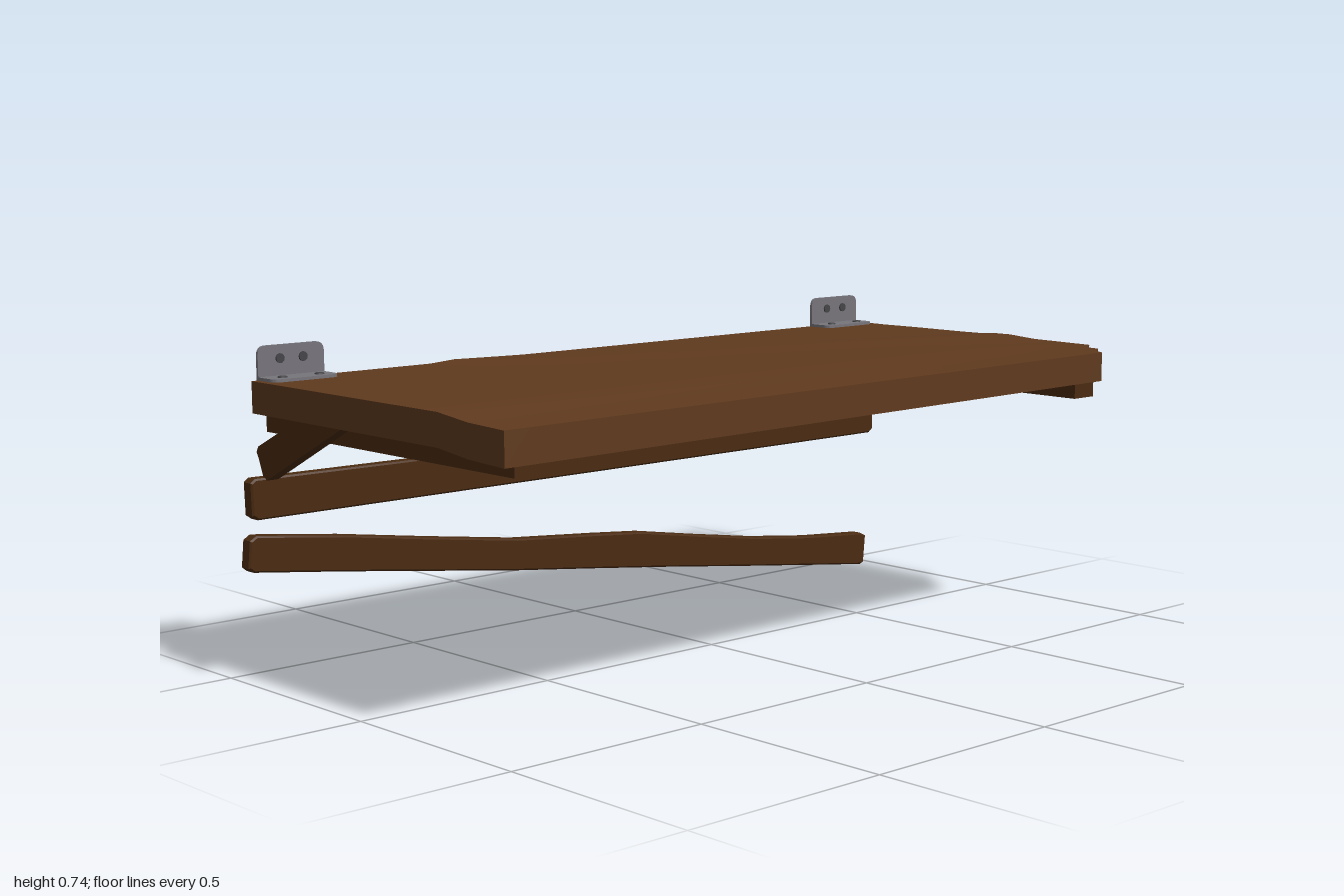
import * as THREE from 'three';
import { toCreasedNormals } from 'three/addons/utils/BufferGeometryUtils.js';

const paint = (color) => new THREE.MeshStandardMaterial({ color });
const slabWood = paint(0x5f3a1e);
const railWood = paint(0x4a2b11);
const metal = paint(0x77757b);
const darkMetal = paint(0x454448);

// Piecewise linear lookup in [[x, y], ...]
function lookup(points, x) {
  for (let i = 1; i < points.length; i++) {
    const [x0, y0] = points[i - 1], [x1, y1] = points[i];
    if (x <= x1) return y0 + (y1 - y0) * Math.max(0, (x - x0) / (x1 - x0));
  }
  return points[points.length - 1][1];
}

function add(parent, name, geometry, material) {
  const mesh = new THREE.Mesh(geometry, material);
  mesh.name = name;
  parent.add(mesh);
  return mesh;
}

// Side profile in (z, y), extruded along x from x0 to x1
function sideExtrude(shape, x0, x1, bevel = 0) {
  const g = new THREE.ExtrudeGeometry(shape, {
    depth: x1 - x0 - 2 * bevel, bevelEnabled: bevel > 0, bevelSize: bevel,
    bevelThickness: bevel, bevelOffset: -bevel, bevelSegments: 1, curveSegments: 6,
  });
  return toCreasedNormals(g.rotateY(-Math.PI / 2).translate(x1 - bevel, 0, 0), 0.6);
}

const polygon = (points) => new THREE.Shape(points.map(([x, y]) => new THREE.Vector2(x, y)));

// Worn plank: a subdivided box pushed to its uneven outline and thickness
function slabGeometry() {
  const xs = [-0.455, -0.35, -0.25, -0.15, -0.08, -0.02, 0.03, 0.08, 0.16, 0.23, 0.28, 0.335, 0.365, 0.4, 0.43, 0.455];
  const back = [[-0.455, -0.98], [-0.35, -0.975], [-0.25, -0.98], [0.335, -0.98], [0.365, -0.933], [0.4, -0.93], [0.43, -0.885], [0.455, -0.875]];
  const frontTop = [[-0.455, 0.666], [0.23, 0.665], [0.335, 0.654], [0.455, 0.65]];
  const frontBottom = [[-0.455, 0.595], [0.23, 0.593], [0.335, 0.581], [0.455, 0.576]];
  const backTop = [[-0.455, 0.667], [0.03, 0.668], [0.455, 0.664]];
  const backBottom = [[-0.455, 0.596], [0.455, 0.594]];
  const n = xs.length - 1;
  const g = new THREE.BoxGeometry(1, 1, 1, n, 1, 28);
  const p = g.attributes.position;
  for (let i = 0; i < p.count; i++) {
    const x = xs[Math.round((p.getX(i) + 0.5) * n)];
    const t = p.getZ(i) + 0.5;
    const z = THREE.MathUtils.lerp(lookup(back, x), 0.95, t);
    const top = p.getY(i) > 0;
    let y = THREE.MathUtils.lerp(lookup(top ? backTop : backBottom, x), lookup(top ? frontTop : frontBottom, x), t);
    // Low ridge running diagonally across the top
    const line = 0.05 - (z + 0.95) * 0.36;
    if (top) y += 0.006 * Math.max(0, 1 - Math.abs(x - line) / 0.09) * (z < 0.4 ? 1 : 0);
    p.setXYZ(i, x - Math.max(0, x) * 0.055 * t, y, z);
  }
  return toCreasedNormals(g, 0.5);
}

// L-shaped bracket with rounded outer corners and screws
function bracket(z) {
  const group = new THREE.Group();
  const w = 0.086, r = 0.022;
  const leaf = (h) => {
    const s = new THREE.Shape();
    s.moveTo(-w, 0);
    s.lineTo(w, 0);
    s.lineTo(w, h - r);
    s.quadraticCurveTo(w, h, w - r, h);
    s.lineTo(r - w, h);
    s.quadraticCurveTo(-w, h, -w, h - r);
    return sideExtrude(s, -0.007, 0);
  };
  add(group, 'uprightLeaf', leaf(0.075), metal);
  add(group, 'flatLeaf', leaf(0.07).rotateZ(-Math.PI / 2), metal).position.x = -0.007;
  for (const s of [-1, 1]) {
    add(group, 'flatScrew', new THREE.CylinderGeometry(0.01, 0.012, 0.006, 12), darkMetal)
      .position.set(0.037, 0.007, s * 0.048);
    const screw = add(group, 'uprightScrew', new THREE.CylinderGeometry(0.011, 0.011, 0.014, 12), darkMetal);
    screw.rotation.z = Math.PI / 2;
    screw.position.set(-0.0035, 0.045, s * 0.03);
  }
  group.position.set(-0.446, 0.667, z);
  return group;
}

export function createModel() {
  const model = new THREE.Group();
  model.name = 'wallShelf';
  add(model, 'shelfBoard', slabGeometry(), slabWood);

  // Cleats and diagonal braces under both ends
  const braceShape = polygon([[-0.447, 0.51], [-0.44, 0.499], [-0.422, 0.456], [-0.41, 0.451], [-0.115, 0.597], [-0.283, 0.597], [-0.44, 0.523]]);
  for (const [cleatZ, braceZ] of [[0.875, 0.918], [-0.865, -0.942]]) {
    add(model, 'cleat', new THREE.BoxGeometry(0.872, 0.05, 0.072), railWood).position.set(-0.025, 0.575, cleatZ);
    const brace = new THREE.ExtrudeGeometry(braceShape, { depth: 0.03, bevelEnabled: false });
    add(model, 'brace', brace, railWood).position.z = braceZ;
  }

  // Level rail
  const rail = polygon([[-0.998, 0.375], [-0.985, 0.365], [0.97, 0.365], [0.984, 0.375], [0.986, 0.448], [0.975, 0.457], [0.4, 0.453], [-0.5, 0.456], [-0.985, 0.458], [-0.998, 0.45]]);
  add(model, 'levelRail', sideExtrude(rail, -0.446, -0.412, 0.004), railWood);

  // Slanted, slightly wavy rail hanging below it
  const bottom = [[-0.968, 0.005], [-0.955, 0], [-0.75, 0.026], [-0.5, 0.058], [-0.25, 0.091], [0, 0.122], [0.25, 0.152], [0.5, 0.186], [0.75, 0.22], [0.985, 0.25], [0.998, 0.26]];
  const top = [[0.992, 0.321], [0.975, 0.331], [0.75, 0.303], [0.5, 0.265], [0.25, 0.229], [0, 0.208], [-0.15, 0.194], [-0.35, 0.16], [-0.55, 0.128], [-0.75, 0.104], [-0.955, 0.088], [-0.975, 0.078]];
  add(model, 'slantedRail', sideExtrude(polygon([...bottom, ...top]), -0.446, -0.412, 0.004), railWood);

  // Metal brackets on the wall edge
  for (const [name, z] of [['frontBracket', 0.852], ['backBracket', -0.876]]) {
    const b = bracket(z);
    b.name = name;
    model.add(b);
  }
  return model;
}
